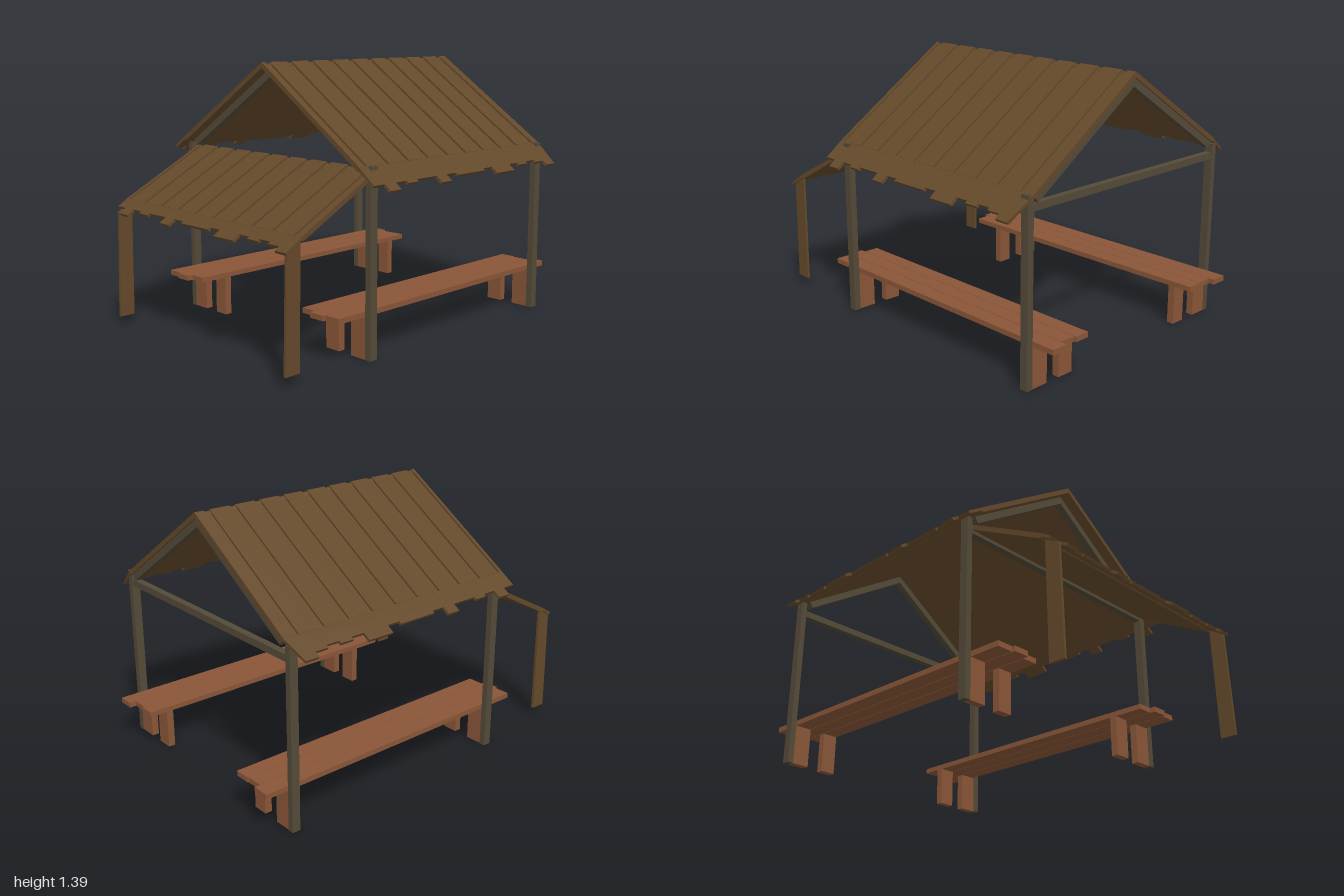
import * as THREE from 'three';

const mat = (color) => new THREE.MeshStandardMaterial({ color, flatShading: true });
const roofMat = mat(0x64492a);
const beamMat = mat(0x544a38);
const benchMat = mat(0x8a5638);

// How far each of the 19 eave boards sticks out: 0 flush, 1 short, 2 long
const JAGS = [0, 2, 0, 1, 0, 0, 2, 0, 1, 1, 1, 0, 2, 2, 0, 1, 0, 1, 2];
const THICK = 0.024;

function box(name, material, x0, x1, y0, y1, z0, z1) {
  const mesh = new THREE.Mesh(new THREE.BoxGeometry(x1 - x0, y1 - y0, z1 - z0), material);
  mesh.position.set((x0 + x1) / 2, (y0 + y1) / 2, (z0 + z1) / 2);
  mesh.name = name;
  return mesh;
}

function extrude(name, points, depth, material) {
  const shape = new THREE.Shape(points.map(([x, y]) => new THREE.Vector2(x, y)));
  const mesh = new THREE.Mesh(new THREE.ExtrudeGeometry(shape, { depth, bevelEnabled: false }), material);
  mesh.name = name;
  return mesh;
}

// One roof slope running down towards +z. Profile points are [distance out, height]:
// top edge, start of the eave, flush eave end. flip reverses it along x.
function roofSlope(name, { x0, x1, pitch, top, kink, eave, flip = false, rafters = [] }) {
  const group = new THREE.Group();
  group.name = name;
  const s = flip ? -1 : 1;
  const place = (a, b) => {
    const g = new THREE.Group();
    g.position.set(0, a[1], a[0]);
    g.rotation.x = Math.atan2(a[1] - b[1], b[0] - a[0]);
    group.add(g);
    return [g, Math.hypot(b[0] - a[0], b[1] - a[1])];
  };

  // Grooved panel
  const [panel, length] = place(top, kink);
  const section = [[s * x0, -THICK], [s * x0, 0]];
  for (let k = 0; k < JAGS.length; k += 2) {
    const c = x0 + (k + 0.5) * pitch;
    section.push([s * (c - 0.017), 0], [s * (c - 0.017), -0.01], [s * (c + 0.017), -0.01], [s * (c + 0.017), 0]);
  }
  section.push([s * x1, 0], [s * x1, -THICK]);
  panel.add(extrude('roofPanel', section, length, roofMat));

  // Rafters under the panel
  for (const x of rafters) {
    panel.add(box('rafter', beamMat, s * x - 0.02, s * x + 0.02, -0.06, -THICK, 0, length * 0.99));
  }

  // Flat eave with uneven board ends
  const [flap, reach] = place(kink, eave);
  const outline = [[s * x0, 0]];
  JAGS.forEach((jag, k) => {
    const end = -(reach + [0, 0.015, 0.045][jag]);
    outline.push([s * (x0 + k * pitch), end], [s * (x0 + (k + 1) * pitch), end]);
  });
  outline.push([s * x1, 0]);
  const eaveMesh = extrude('roofEave', outline, 0.015, roofMat);
  eaveMesh.rotation.x = -Math.PI / 2;
  eaveMesh.position.y = -0.016;
  flap.add(eaveMesh);
  return group;
}

// Planks: [z0, z1, x0, x1]; legs: [z0, z1]
function bench(name, planks, legs) {
  const group = new THREE.Group();
  group.name = name;
  for (const [z0, z1, x0, x1] of planks) {
    group.add(box('benchPlank', benchMat, x0, x1, 0.208, 0.235, z0, z1));
  }
  for (const x of [-0.455, 0.855]) {
    for (const [z0, z1] of legs) group.add(box('benchLeg', benchMat, x - 0.019, x + 0.019, 0, 0.21, z0, z1));
  }
  return group;
}

export function createModel() {
  const model = new THREE.Group();
  model.name = 'shelter';
  const frameX = [-0.455, 0.855];

  // Corner posts and tie beams
  for (const x of frameX) {
    model.add(box('frontPost', beamMat, x - 0.022, x + 0.022, 0, 0.93, 0.648, 0.683));
    model.add(box('backPost', beamMat, x - 0.022, x + 0.022, 0, 0.93, -0.712, -0.68));
    model.add(box('tieBeam', beamMat, x - 0.018, x + 0.018, 0.85, 0.885, -0.7, 0.68));
  }

  // Main gable roof
  const span = { x0: -0.533, x1: 0.885, pitch: 0.073, rafters: frameX };
  model.add(roofSlope('frontRoof', { ...span, top: [-0.015, 1.388], kink: [0.66, 0.93], eave: [0.755, 0.856] }));
  const back = roofSlope('backRoof', {
    ...span, flip: true, top: [0.015, 1.388], kink: [0.68, 0.964], eave: [0.76, 0.913],
  });
  back.rotation.y = Math.PI;
  model.add(back);

  // Lean-to roof on the right side
  const leanTo = roofSlope('leanToRoof', {
    x0: -0.68, x1: 0.68, pitch: 1.36 / 19, top: [0.43, 0.917], kink: [0.91, 0.667], eave: [0.965, 0.634],
  });
  leanTo.rotation.y = -Math.PI / 2;
  model.add(leanTo);

  // Flat boards holding up the lean-to
  for (const z of [-0.652, 0.655]) {
    const board = extrude('leanToPost',
      [[-0.998, 0.05], [-0.913, 0.05], [-0.906, 0.65], [-0.985, 0.608]], 0.014, roofMat);
    board.position.z = z;
    model.add(board);
  }

  // Benches
  model.add(bench('frontBench', [
    [0.38, 0.461, -0.63, 0.972],
    [0.464, 0.55, -0.66, 0.96],
    [0.553, 0.64, -0.645, 0.997],
  ], [[0.38, 0.47], [0.55, 0.65]]));
  model.add(bench('backBench', [
    [-0.497, -0.414, -0.63, 0.972],
    [-0.585, -0.5, -0.66, 0.967],
    [-0.678, -0.588, -0.645, 0.997],
  ], [[-0.495, -0.414], [-0.68, -0.585]]));

  return model;
}
